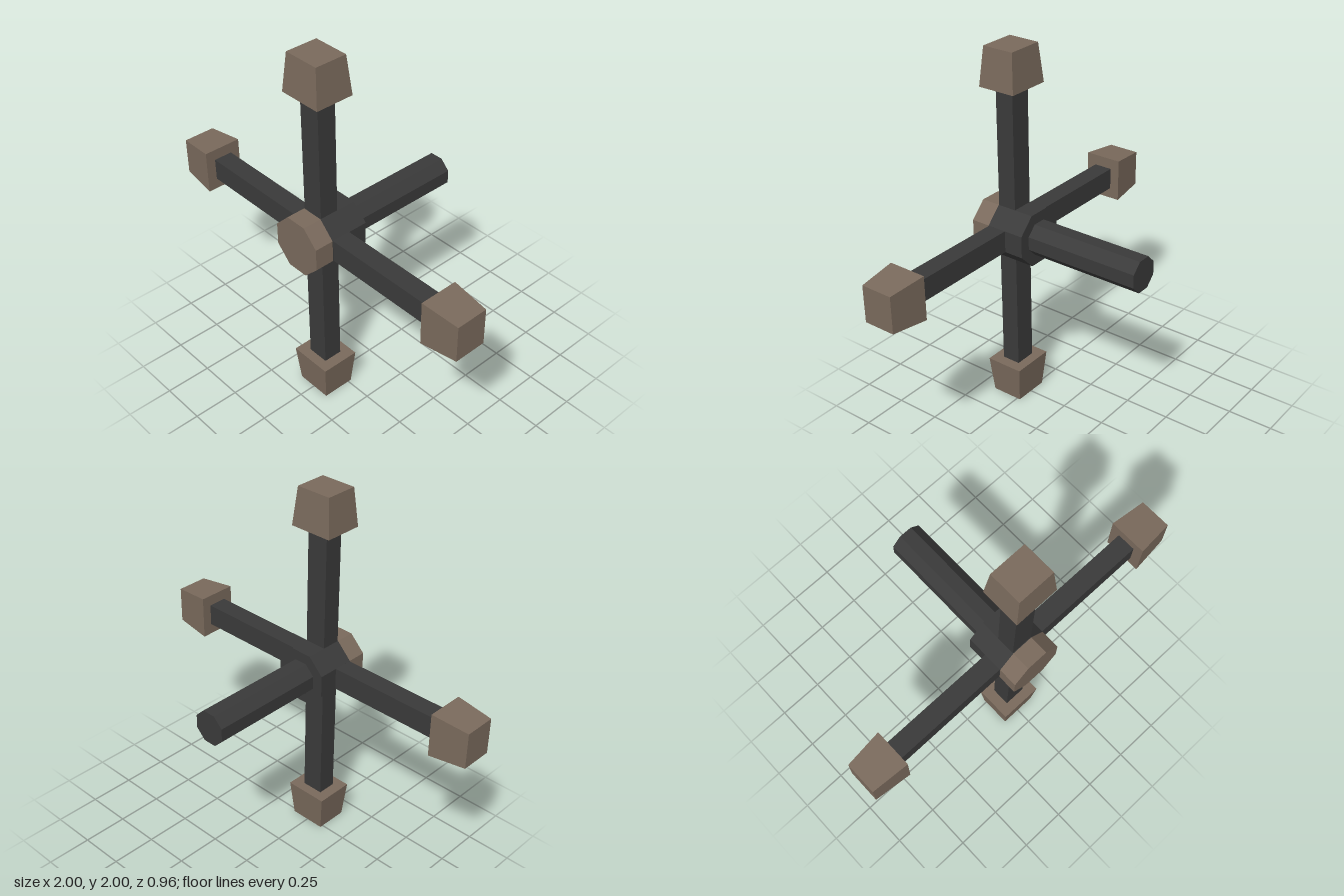
import * as THREE from 'three';

const dark = new THREE.MeshStandardMaterial({ color: 0x3a3a3a, flatShading: true });
const brown = new THREE.MeshStandardMaterial({ color: 0x7a6a5c, flatShading: true });

function addMesh(parent, name, geometry, material) {
  const mesh = new THREE.Mesh(geometry, material);
  mesh.name = name;
  parent.add(mesh);
  return mesh;
}

// Octagonal prism along z, flats facing up and sideways
function octagonPrism(acrossFlats, z0, z1) {
  const radius = acrossFlats / 2 / Math.cos(Math.PI / 8);
  return new THREE.CylinderGeometry(radius, radius, z1 - z0, 8)
    .rotateY(Math.PI / 8)
    .rotateX(Math.PI / 2)
    .translate(0, 0, (z0 + z1) / 2);
}

// Four-sided tapered block along y, narrower at its outer end
function taperedBlock(innerWidth, outerWidth, length, depthRatio) {
  return new THREE.CylinderGeometry(outerWidth * Math.SQRT1_2, innerWidth * Math.SQRT1_2, length, 4)
    .rotateY(Math.PI / 4)
    .scale(1, 1, depthRatio);
}

export function createModel() {
  const model = new THREE.Group();
  model.name = 'valveWheel';
  const centreY = 1, armZ = 0.32;

  // Shaft, hub and front cap
  const core = new THREE.Group();
  core.name = 'hubAssembly';
  core.position.y = centreY;
  addMesh(core, 'shaft', octagonPrism(0.175, -0.48, 0.18), dark);
  addMesh(core, 'hub', octagonPrism(0.29, 0.16, 0.375), dark);
  addMesh(core, 'hubCap', octagonPrism(0.29, 0.375, 0.48), brown);
  model.add(core);

  // Four spokes, each with a tapered grip
  const names = ['topSpoke', 'rightSpoke', 'bottomSpoke', 'leftSpoke'];
  names.forEach((name, i) => {
    const spoke = new THREE.Group();
    spoke.name = name;
    addMesh(spoke, 'bar', new THREE.BoxGeometry(0.12, 0.72, 0.104), dark).position.y = 0.46;
    addMesh(spoke, 'grip', taperedBlock(0.24, 0.2, 0.206, 0.88), brown).position.y = 0.897;
    spoke.position.set(0, centreY, armZ);
    spoke.rotation.z = i * Math.PI / 2;
    model.add(spoke);
  });

  return model;
}
